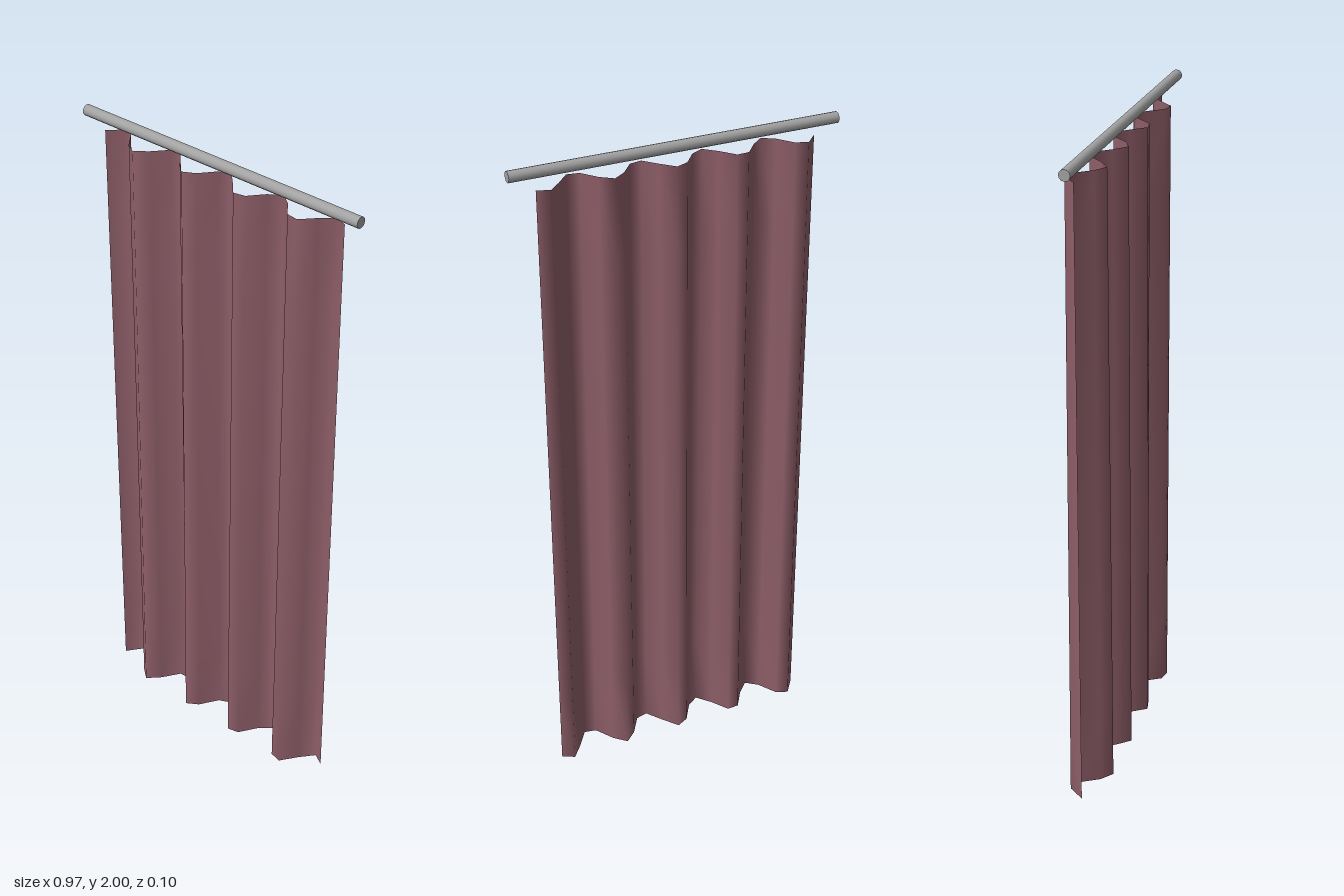
import * as THREE from 'three';

const WIDTH = 0.83, HEIGHT = 1.944, FOLDS = 4.4;

export function createModel() {
  const model = new THREE.Group();
  model.name = 'curtain';

  const fabric = new THREE.MeshStandardMaterial({ color: 0x8f5f69, side: THREE.DoubleSide });
  fabric.name = 'dusty rose fabric';
  const metal = new THREE.MeshStandardMaterial({ color: 0xa3a3a3 });
  metal.name = 'grey metal';

  // Pleated sheet: a sine wave that flares slightly towards the hem
  const sheet = new THREE.PlaneGeometry(WIDTH, HEIGHT, 23, 8);
  sheet.translate(0, HEIGHT / 2, 0);
  const p = sheet.attributes.position;
  for (let i = 0; i < p.count; i++) {
    const across = p.getX(i) / WIDTH + 0.5;
    const depth = THREE.MathUtils.lerp(0.052, 0.041, p.getY(i) / HEIGHT);
    p.setZ(i, -depth * Math.sin(across * FOLDS * Math.PI * 2));
  }
  sheet.computeVertexNormals();
  const drape = new THREE.Mesh(sheet, fabric);
  drape.name = 'drape';

  // Rod above the sheet
  const rod = new THREE.Mesh(new THREE.CylinderGeometry(0.0162, 0.0162, 0.968, 12), metal);
  rod.rotation.z = Math.PI / 2;
  rod.position.y = 1.984;
  rod.name = 'rod';

  model.add(drape, rod);
  return model;
}
